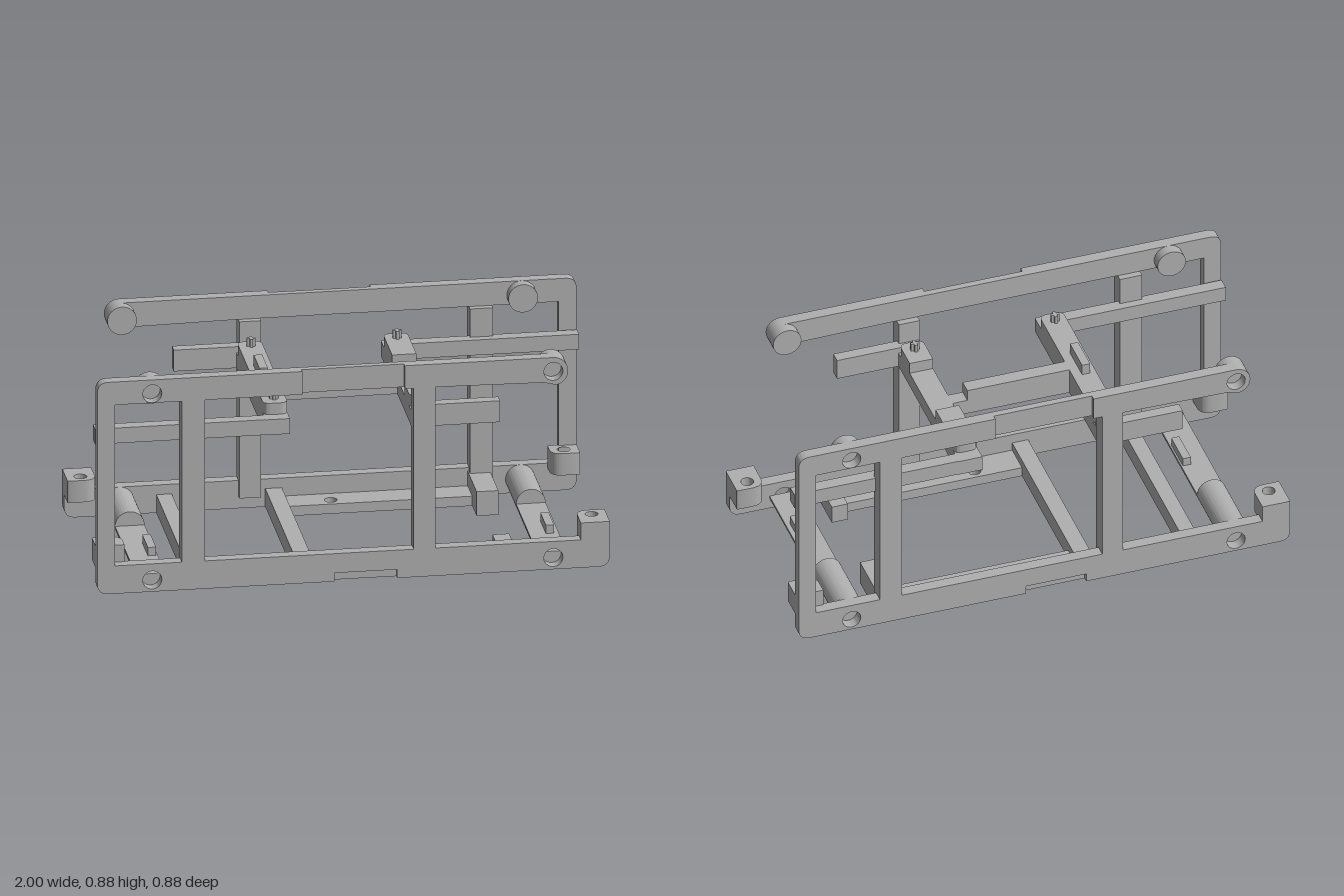
import * as THREE from 'three';
import { toCreasedNormals } from 'three/addons/utils/BufferGeometryUtils.js';

const grey = new THREE.MeshStandardMaterial({ color: 0xb0b0b0 });
grey.name = 'plainGrey';

function add(parent, name, geometry) {
  const mesh = new THREE.Mesh(geometry, grey);
  mesh.name = name;
  parent.add(mesh);
  return mesh;
}

// Box given by its limits on each axis
function block(parent, name, x0, x1, y0, y1, z0, z1) {
  const g = new THREE.BoxGeometry(x1 - x0, y1 - y0, z1 - z0);
  g.translate((x0 + x1) / 2, (y0 + y1) / 2, (z0 + z1) / 2);
  return add(parent, name, g);
}

function extrude(shape, depth) {
  return toCreasedNormals(new THREE.ExtrudeGeometry(shape, { depth, bevelEnabled: false, curveSegments: 16 }), 0.6);
}

// Slab with its outline in x and z, between two heights
function slab(parent, name, shape, y0, y1) {
  return add(parent, name, extrude(shape, y1 - y0).rotateX(Math.PI / 2).translate(0, y1, 0));
}

// Outline from [x, y, cornerRadius] points
function outline(points) {
  const s = new THREE.Shape();
  const n = points.length;
  points.forEach(([x, y, r = 0], i) => {
    const toward = ([px, py]) => {
      const d = Math.hypot(px - x, py - y);
      return [x + (px - x) * r / d, y + (py - y) * r / d];
    };
    const a = toward(points[(i + n - 1) % n]);
    const b = toward(points[(i + 1) % n]);
    if (i === 0) s.moveTo(...a); else s.lineTo(...a);
    if (r) s.quadraticCurveTo(x, y, ...b);
  });
  s.closePath();
  return s;
}

const rect = (x0, x1, y0, y1, r = 0) => outline([[x0, y0, r], [x1, y0, r], [x1, y1, r], [x0, y1, r]]);

function hole(shape, x, y, r) {
  shape.holes.push(new THREE.Path().absarc(x, y, r, 0, Math.PI * 2, true));
}

const RAIL = 0.115, TOP = 0.875, UNDER = 0.78, BOSS_Y = 0.8175, BOSS_R = 0.0575;

// One layer of a side frame; the outer layer carries the shallow recesses
function frameShape(outer) {
  const end = [];
  for (let i = 0; i <= 16; i++) {
    const a = -Math.PI / 2 + 0.7 * (i === 0 ? -1 : 0) + (i / 16) * Math.PI;
    end.push([0.78 + BOSS_R * Math.cos(a), BOSS_Y + BOSS_R * Math.sin(a)]);
  }
  const foot = outer ? [[-0.075, 0], [-0.075, 0.035], [0.17, 0.035], [0.17, 0]] : [];
  const gap = outer ? [[0.2, TOP], [0.2, UNDER], [0.235, UNDER], [0.235, RAIL], [-0.58, RAIL],
    [-0.58, UNDER], [-0.2, UNDER], [-0.2, TOP]] : [];
  const s = outline([[-1, 0, 0.045], ...foot, [1, 0, 0.045], [1, RAIL], [0.32, RAIL], [0.32, UNDER],
    ...end, ...gap, [-1, TOP, 0.045]]);
  s.holes.push(rect(-0.93, -0.67, RAIL, UNDER));
  if (!outer) s.holes.push(rect(-0.58, 0.235, RAIL, UNDER));
  for (const [x, y] of [[-0.785, BOSS_Y], [0.78, BOSS_Y], [-0.785, 0.048], [0.78, 0.048]]) hole(s, x, y, 0.037);
  return s;
}

function sideFrame() {
  const g = new THREE.Group();
  add(g, 'framePlate', extrude(frameShape(false), 0.027).translate(0, 0, 0.393));
  add(g, 'frameFace', extrude(frameShape(true), 0.02).translate(0, 0, 0.42));
  // Thicker backs of the two uprights
  block(g, 'upright', -0.67, -0.58, 0.05, UNDER, 0.367, 0.395);
  block(g, 'upright', 0.235, 0.32, 0.05, UNDER, 0.367, 0.395);
  // Round stubs behind the upper bolt holes
  for (const x of [-0.785, 0.78]) {
    add(g, 'stub', new THREE.CylinderGeometry(BOSS_R, BOSS_R, 0.047, 32).rotateX(Math.PI / 2).translate(x, BOSS_Y, 0.3735));
  }
  // Drilled corner lugs
  for (const side of [-1, 1]) {
    const outer = side > 0 ? 0.44 : 0.4;
    const s = outline([[side, 0.305, 0.008], [side, outer], [side * 0.887, outer], [side * 0.887, 0.305, 0.05]]);
    hole(s, side * 0.943, 0.35, 0.025);
    slab(g, 'cornerLug', s, 0.095, 0.185);
  }
  // Long low arm and short tall arm of the upper level
  block(g, 'longArm', -1, -0.24, 0.6, 0.663, 0.335, 0.385);
  block(g, 'shortArm', 0.24, 0.58, 0.6, 0.688, 0.342, 0.387);
  return g;
}

export function createModel() {
  const model = new THREE.Group();
  model.name = 'openFrame';

  const front = sideFrame();
  front.name = 'frontFrame';
  const back = sideFrame();
  back.name = 'backFrame';
  back.rotation.y = Math.PI;
  model.add(front, back);

  // Lower rods: round at the back, cut flat towards the front
  for (const [x, keyX] of [[-0.785, -0.75], [0.78, 0.803]]) {
    const half = new THREE.Shape();
    half.absarc(x, BOSS_R, BOSS_R, Math.PI, Math.PI * 2, false);
    half.closePath();
    add(model, 'rodLowerHalf', extrude(half, 0.79).translate(0, 0, -0.395));
    const upper = new THREE.Shape();
    upper.absarc(x, BOSS_R, BOSS_R, 0, Math.PI, false);
    upper.closePath();
    add(model, 'rodUpperHalf', extrude(upper, 0.27).translate(0, 0, -0.395));
    block(model, 'rodKey', keyX - 0.016, keyX + 0.016, 0.05, 0.092, 0.065, 0.205);
  }

  // Floor: two drilled strips, two cross bars and end blocks
  const floor = new THREE.Group();
  floor.name = 'floor';
  model.add(floor);
  for (const [x1, z0, z1, hz] of [[0.575, 0.275, 0.4, 0.315], [0.66, -0.4, -0.28, -0.325]]) {
    const s = rect(-0.215, x1, z0, z1);
    hole(s, 0.03, hz, 0.025);
    hole(s, 0.39, hz, 0.025);
    slab(floor, 'floorStrip', s, 0, 0.04);
  }
  block(floor, 'crossBar', -0.215, -0.15, 0, 0.075, -0.4, 0.4);
  block(floor, 'crossBar', -0.64, -0.58, 0, 0.075, -0.4, 0.4);
  block(floor, 'endBlock', 0.575, 0.66, 0, 0.1, -0.4, -0.17);
  block(floor, 'endBlock', 0.575, 0.64, 0, 0.075, 0.228, 0.4);

  // Upper level: two cross beams joined by a link
  const upper = new THREE.Group();
  upper.name = 'upperLevel';
  model.add(upper);
  for (const x of [-0.2875, 0.2825]) {
    const x0 = x - 0.0475, x1 = x + 0.0475;
    block(upper, 'crossBeam', x0, x1, 0.6, 0.663, -0.387, 0.387);
    // Tall ends, or a full-length top on the beam without a dip
    const spans = x < 0 ? [[-0.335, 0.335]] : [[-0.335, -0.105], [0.207, 0.335]];
    for (const [z0, z1] of spans) {
      const a = z0 < -0.3 ? 0.03 : 0, b = z1 > 0.3 ? 0.03 : 0;
      slab(upper, 'beamTop', outline([[x0, z0, a], [x1, z0, a], [x1, z1, b], [x0, z1, b]]), 0.663, 0.71);
    }
    // Cross-shaped pegs
    for (const z of [-0.285, 0.285]) {
      block(upper, 'peg', x - 0.017, x + 0.017, 0.7, 0.743, z - 0.006, z + 0.006);
      block(upper, 'peg', x - 0.006, x + 0.006, 0.7, 0.743, z - 0.017, z + 0.017);
    }
  }
  block(upper, 'beamKey', -0.31, -0.277, 0.7, 0.755, -0.073, 0.073);
  block(upper, 'link', -0.25, 0.24, 0.6, 0.663, -0.028, 0.028);
  block(upper, 'linkTop', -0.25, 0.175, 0.663, 0.71, -0.028, 0.028);

  return model;
}
